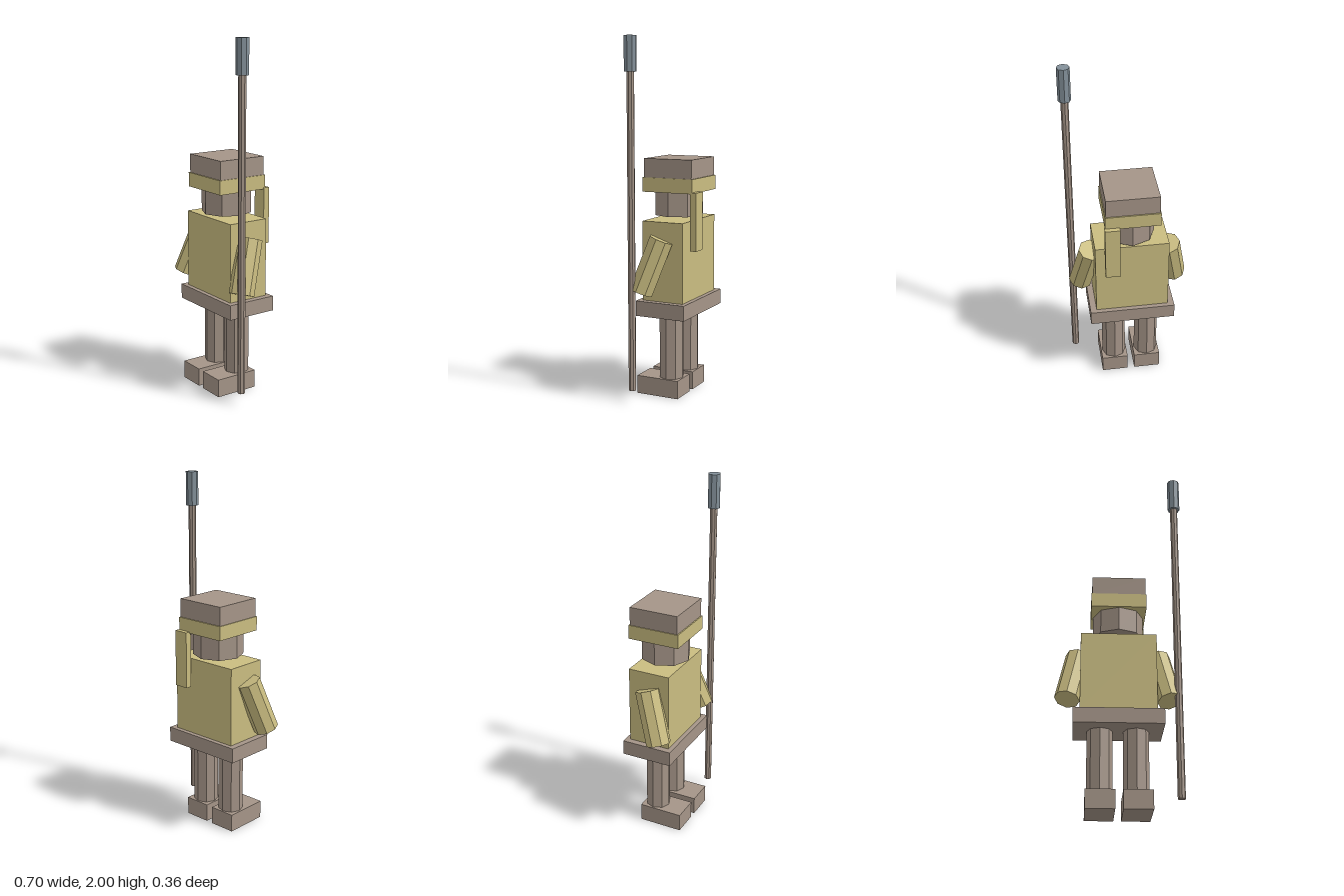
import * as THREE from 'three';

export function createModel() {
  const model = new THREE.Group();
  model.name = 'guard';

  const material = (name, color) => {
    const m = new THREE.MeshStandardMaterial({ color });
    m.name = name;
    m.flatShading = true;
    return m;
  };
  const brown = material('dusty brown', 0xa59588);
  const khaki = material('khaki', 0xcabd81);
  const steel = material('blue steel', 0x84919a);

  const add = (name, geometry, mat, x, y, z) => {
    const mesh = new THREE.Mesh(geometry, mat);
    mesh.name = name;
    mesh.position.set(x, y, z);
    model.add(mesh);
    return mesh;
  };
  // Box given by its extents on each axis
  const box = (name, mat, [x0, x1], [y0, y1], [z0, z1]) =>
    add(name, new THREE.BoxGeometry(x1 - x0, y1 - y0, z1 - z0), mat,
      (x0 + x1) / 2, (y0 + y1) / 2, (z0 + z1) / 2);
  // Upright eight-sided prism
  const prism = (name, mat, r, x, [y0, y1], z) =>
    add(name, new THREE.CylinderGeometry(r, r, y1 - y0, 8), mat, x, (y0 + y1) / 2, z);

  const cx = -0.006; // body midline, balanced against the spear

  // Legs, feet and arms
  for (const [side, s] of [['left', 1], ['right', -1]]) {
    const legX = cx + s * 0.098;
    box(side + 'Foot', brown, [legX - 0.0775, legX + 0.0775], [0, 0.103], [-0.075, 0.179]);
    prism(side + 'Leg', brown, 0.07, legX, [0.103, 0.47], 0);

    // Arm swings forward and outward
    const arm = prism(side + 'Arm', khaki, 0.07, cx + s * 0.25, [0.606, 0.916], 0.048);
    arm.rotation.set(-0.325, 0, s * 0.182);
  }

  // Torso and belt
  box('belt', brown, [-0.251, 0.239], [0.47, 0.555], [-0.148, 0.148]);
  box('torso', khaki, [-0.215, 0.203], [0.555, 1.0], [-0.122, 0.122]);

  // Head and layered hat
  prism('head', brown, 0.141, cx, [1.02, 1.155], 0);
  box('hatBand', khaki, [-0.16, 0.148], [1.155, 1.235], [-0.153, 0.15]);
  box('hatTop', brown, [-0.155, 0.143], [1.235, 1.34], [-0.146, 0.143]);

  // Strip of cloth hanging behind the head
  box('hatTail', khaki, [0.068, 0.152], [0.842, 1.163], [-0.18, -0.144]);

  // Spear
  prism('spearShaft', brown, 0.021, 0.316, [0.068, 1.81], 0.129);
  prism('spearHead', steel, 0.035, 0.316, [1.81, 2.0], 0.129);

  return model;
}
